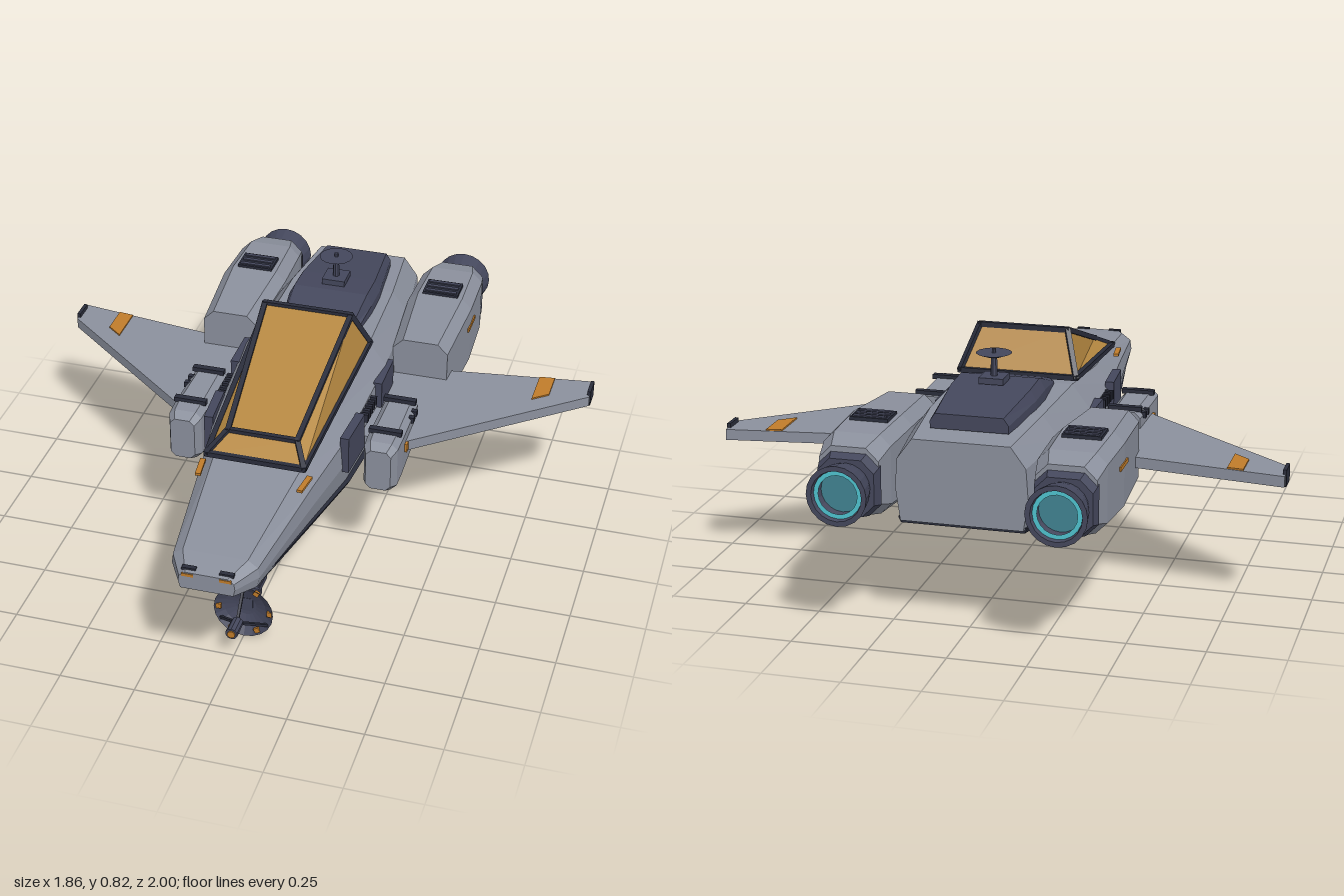
import * as THREE from 'three';

const mat = (name, color, side = THREE.FrontSide) => {
  const m = new THREE.MeshStandardMaterial({ color, side, flatShading: true });
  m.name = name;
  return m;
};
const V = (x, y, z) => new THREE.Vector3(x, y, z);

// Skin a row of rings (each counter-clockwise seen from the row's far end) and cap both ends
function loft(rings) {
  const p = [], n = rings[0].length;
  const tri = (...v) => v.forEach(q => p.push(q.x, q.y, q.z));
  for (let i = 0; i < rings.length - 1; i++)
    for (let j = 0; j < n; j++) {
      const k = (j + 1) % n;
      const a = rings[i][j], b = rings[i][k], c = rings[i + 1][k], d = rings[i + 1][j];
      tri(a, b, c);
      tri(a, c, d);
    }
  const first = rings[0], last = rings[rings.length - 1];
  for (let j = 1; j < n - 1; j++) {
    tri(first[0], first[j + 1], first[j]);
    tri(last[0], last[j], last[j + 1]);
  }
  const g = new THREE.BufferGeometry();
  g.setAttribute('position', new THREE.Float32BufferAttribute(p, 3));
  g.computeVertexNormals();
  return g;
}

// Rectangle with cut corners at depth z
function cutRect(z, hw, y0, y1, c) {
  return [[hw - c, y0], [hw, y0 + c], [hw, y1 - c], [hw - c, y1],
    [c - hw, y1], [-hw, y1 - c], [-hw, y0 + c], [c - hw, y0]].map(([x, y]) => V(x, y, z));
}

// Symmetric ring from its right half, listed bottom to top
const mirrorRing = (z, half) => [
  ...half.map(([x, y]) => V(x, y, z)),
  ...half.slice().reverse().map(([x, y]) => V(-x, y, z))];

export function createModel() {
  const root = new THREE.Group();
  root.name = 'starfighter';
  const hull = mat('hull grey', 0x8b909d);
  const dark = mat('slate', 0x44475c, THREE.DoubleSide);
  const black = mat('charcoal', 0x2a2d3b);
  const glass = mat('amber glass', 0xb48740);
  const amber = mat('amber marking', 0xc07c2a);
  const glow = mat('engine glow', 0x4fc3d0);
  const core = mat('engine core', 0x418391);

  const add = (name, geo, m, x = 0, y = 0, z = 0) => {
    const mesh = new THREE.Mesh(geo, m);
    mesh.name = name;
    mesh.position.set(x, y, z);
    root.add(mesh);
    return mesh;
  };
  const box = (name, m, w, h, d, x, y, z) => add(name, new THREE.BoxGeometry(w, h, d), m, x, y, z);
  const bar = (name, m, a, b, t) => {
    const mid = a.clone().add(b).multiplyScalar(0.5);
    const mesh = box(name, m, t, t, a.distanceTo(b) + t * 0.6, mid.x, mid.y, mid.z);
    mesh.lookAt(b);
    return mesh;
  };

  // Fuselage stations: z, half width, bottom, top
  const stations = [
    [-0.83, 0.21, 0.365, 0.63], [-0.55, 0.245, 0.345, 0.648], [-0.2, 0.255, 0.337, 0.648],
    [0.2, 0.235, 0.357, 0.6], [0.5, 0.192, 0.385, 0.568], [0.91, 0.14, 0.425, 0.52], [1, 0.09, 0.445, 0.505]];
  add('fuselage', loft(stations.map(([z, w, b, t]) => {
    const h = t - b;
    return mirrorRing(z, [[w * 0.93, b], [w, b + h * 0.4], [w * 0.97, t - h * 0.25], [w * 0.74, t]]);
  })), hull);

  // Belly plate
  add('bellyPlate', loft([[-0.82, 0.205, 0.355], [-0.55, 0.245, 0.335], [-0.2, 0.257, 0.324],
    [0.2, 0.235, 0.345], [0.5, 0.19, 0.373], [0.87, 0.135, 0.412]].map(([z, w, y]) =>
    mirrorRing(z, [[w * 0.96, y], [w, y + 0.018]]))), black);

  // Canopy glass with bars along every edge
  const low = [V(-0.16, 0.592, 0.5), V(0.16, 0.592, 0.5), V(0.195, 0.664, -0.18), V(-0.195, 0.664, -0.18)];
  const high = [V(-0.115, 0.634, 0.415), V(0.115, 0.634, 0.415), V(0.148, 0.803, -0.105), V(-0.148, 0.803, -0.105)];
  add('canopyGlass', loft([low, high]), glass);
  for (let i = 0; i < 4; i++) {
    const k = (i + 1) % 4;
    bar('canopyFrame', black, low[i], low[k], 0.017);
    bar('canopyFrame', black, high[i], high[k], 0.017);
    bar('canopyFrame', black, low[i], high[i], 0.017);
  }

  // Dorsal hump with its antenna
  add('dorsalHump', loft([[-0.74, 0.125, 0.64, 0.688], [-0.5, 0.148, 0.642, 0.712], [-0.39, 0.148, 0.645, 0.718],
    [-0.21, 0.13, 0.645, 0.668]].map(([z, w, b, t]) =>
    mirrorRing(z, [[w, b], [w, b + (t - b) * 0.5], [w * 0.87, t]]))), dark);
  box('antennaBase', dark, 0.08, 0.02, 0.08, 0, 0.728, -0.46);
  add('antennaPost', new THREE.CylinderGeometry(0.01, 0.012, 0.09, 8), dark, 0, 0.765, -0.46);
  add('antennaDish', new THREE.CylinderGeometry(0.057, 0.02, 0.014, 16), dark, 0, 0.805, -0.46);
  add('antennaTip', new THREE.CylinderGeometry(0.007, 0.007, 0.02, 8), dark, 0, 0.815, -0.46);

  // Paired parts
  for (const s of [1, -1]) {
    // Swept wing
    const wing = new THREE.Shape([[0.2, -0.1], [0.385, -0.1], [0.925, 0.34], [0.925, 0.44], [0.2, 0.34]]
      .map(([x, y]) => new THREE.Vector2(s * x, y)));
    add('wing', new THREE.ExtrudeGeometry(wing, { depth: 0.036, bevelEnabled: false }).rotateX(-Math.PI / 2),
      hull, 0, 0.44, 0);
    const stripe = new THREE.Shape([[0.74, 0.27], [0.792, 0.312], [0.792, 0.418], [0.74, 0.411]]
      .map(([x, y]) => new THREE.Vector2(s * x, y)));
    add('wingStripe', new THREE.ExtrudeGeometry(stripe, { depth: 0.006, bevelEnabled: false }).rotateX(-Math.PI / 2),
      amber, 0, 0.475, 0);
    box('wingTipLight', black, 0.012, 0.055, 0.07, s * 0.922, 0.463, -0.385);

    // Wing root pod
    add('rootPod', loft([cutRect(-0.08, 0.055, 0.375, 0.53, 0.02), cutRect(0.14, 0.058, 0.358, 0.532, 0.02),
      cutRect(0.2, 0.056, 0.352, 0.53, 0.02), cutRect(0.235, 0.042, 0.368, 0.515, 0.016)]), hull, s * 0.335, 0, 0);
    for (const z of [-0.055, 0.14]) box('podBand', black, 0.11, 0.016, 0.022, s * 0.335, 0.536, z);
    for (const z of [-0.01, 0.03]) box('podLatch', black, 0.02, 0.02, 0.018, s * 0.39, 0.51, z - 0.02);
    box('podMarker', amber, 0.012, 0.03, 0.02, s * 0.395, 0.46, 0.1);

    // Engine nacelle
    add('nacelle', loft([cutRect(-0.88, 0.095, 0.39, 0.605, 0.04), cutRect(-0.8, 0.108, 0.37, 0.625, 0.035),
      cutRect(-0.6, 0.114, 0.355, 0.63, 0.035), cutRect(-0.31, 0.096, 0.352, 0.61, 0.035)]), hull, s * 0.34, 0, 0);
    box('nacelleVent', black, 0.125, 0.014, 0.09, s * 0.34, 0.632, -0.645);
    for (const z of [-0.615, -0.645, -0.675]) box('ventSlat', dark, 0.11, 0.006, 0.014, s * 0.34, 0.64, z);
    box('nacelleStripe', amber, 0.009, 0.014, 0.1, s * 0.453, 0.53, -0.61);
    add('engineCollar', loft([cutRect(-0.912, 0.09, 0.395, 0.575, 0.04), cutRect(-0.87, 0.099, 0.385, 0.59, 0.04)]),
      dark, s * 0.34, 0, 0);
    const nozzle = [[0.078, 0], [0.086, 0.03], [0.096, 0.09], [0.08, 0.09], [0.066, 0.03]]
      .map(([r, y]) => new THREE.Vector2(r, y));
    add('engineNozzle', new THREE.LatheGeometry(nozzle, 20).rotateX(-Math.PI / 2), dark, s * 0.34, 0.486, -0.91);
    add('engineGlowRing', new THREE.RingGeometry(0.062, 0.08, 20).rotateY(Math.PI), glow, s * 0.34, 0.486, -0.985);
    add('engineCore', new THREE.CircleGeometry(0.07, 20).rotateY(Math.PI), core, s * 0.34, 0.486, -0.945);

    // Side panels, cooling fins and marker strips
    const front = box('sidePanel', dark, 0.03, 0.13, 0.16, s * 0.236, 0.505, 0.19);
    front.rotation.y = -s * 0.07;
    box('sidePanel', dark, 0.03, 0.11, 0.16, s * 0.25, 0.515, -0.16);
    for (let i = 0; i < 5; i++) box('coolingFin', black, 0.03, 0.03, 0.013, s * 0.246, 0.535, 0.08 - i * 0.027);
    box('sideMarker', amber, 0.018, 0.009, 0.085, s * 0.172, 0.556, 0.53).rotation.y = -s * 0.12;
    box('noseLight', black, 0.045, 0.01, 0.016, s * 0.06, 0.508, 0.98);
    box('noseLamp', amber, 0.038, 0.01, 0.006, s * 0.06, 0.496, 0.999);
  }

  // Sensor strut under the nose
  box('sensorStrut', dark, 0.06, 0.27, 0.06, 0, 0.265, 0.54);
  box('strutAnkle', dark, 0.066, 0.02, 0.09, 0, 0.137, 0.535);
  box('sensorArm', dark, 0.045, 0.05, 0.1, 0, 0.105, 0.565);

  // Sensor dish with its feed horn
  const bowl = [[0.001, 0], [0.035, 0.004], [0.07, 0.016], [0.1, 0.036]].map(([r, y]) => new THREE.Vector2(r, y));
  add('sensorDish', new THREE.LatheGeometry(bowl, 20).rotateX(Math.PI / 2), dark, 0, 0.1, 0.61);
  add('feedHorn', new THREE.CylinderGeometry(0.02, 0.02, 0.065, 10).rotateX(Math.PI / 2), dark, 0, 0.104, 0.74);
  add('feedTip', new THREE.CylinderGeometry(0.013, 0.013, 0.006, 10).rotateX(Math.PI / 2), amber, 0, 0.104, 0.774);
  for (let i = 0; i < 6; i++) {
    const a = i * Math.PI / 3;
    box('dishMarker', amber, 0.018, 0.018, 0.009, Math.cos(a) * 0.086, 0.1 + Math.sin(a) * 0.086, 0.638).rotation.z = a;
  }
  for (let i = 0; i < 3; i++) {
    const a = Math.PI / 2 + i * Math.PI * 2 / 3;
    bar('feedStrut', black, V(Math.cos(a) * 0.09, 0.1 + Math.sin(a) * 0.09, 0.64), V(0, 0.104, 0.712), 0.009);
  }
  return root;
}
